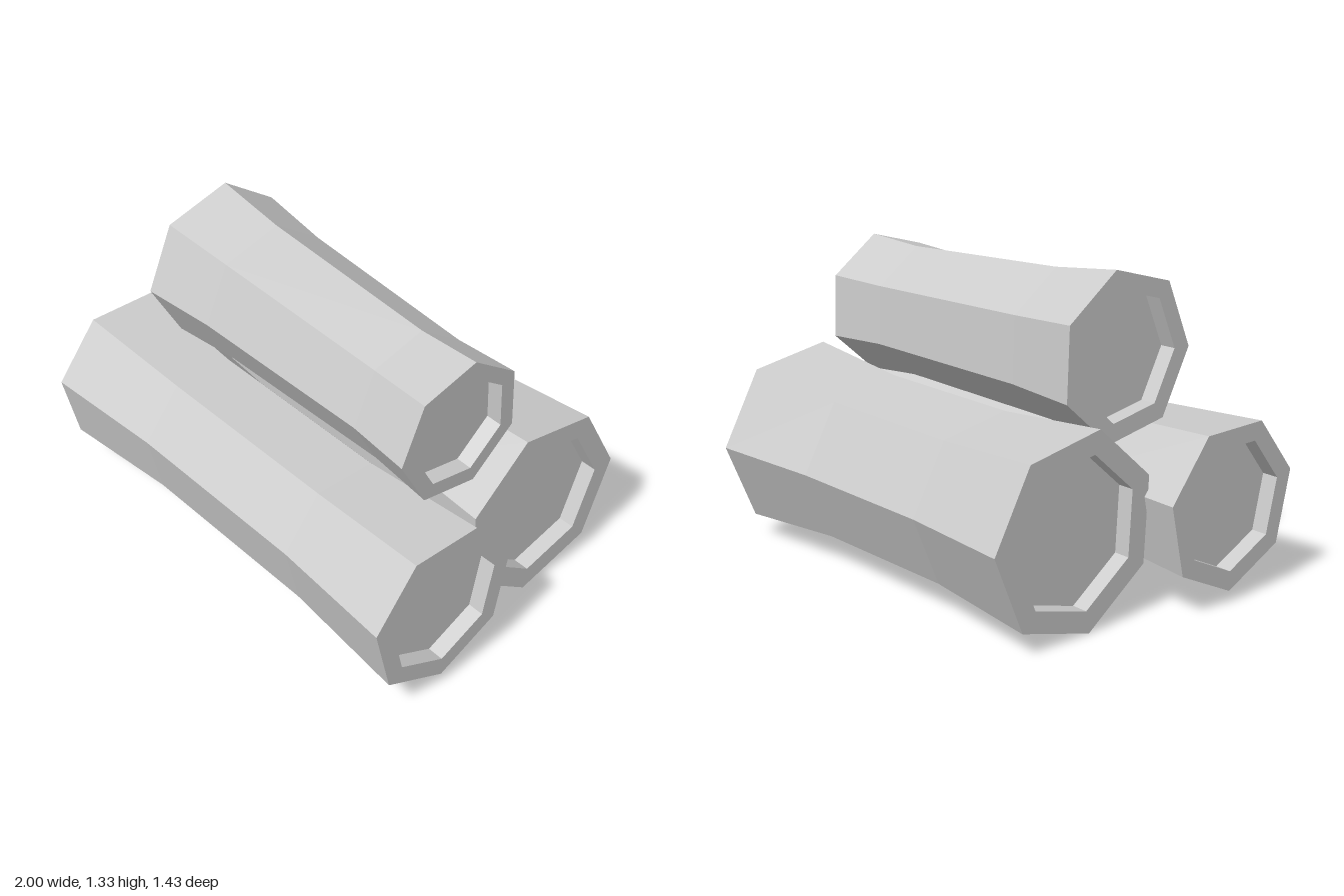
import * as THREE from 'three';

const RECESS = 0.07; // depth of the hollowed ends
const RIM = 0.765;   // inner rim radius relative to the end radius

// Seven-sided log lying along x; rings = four [x, radius] stations from -x to +x.
function makeLog(name, rings, turn, material) {
  const [x0, r0] = rings[0];
  const [x1, r1] = rings[rings.length - 1];
  const profile = [
    [0, x0 + RECESS], [r0 * RIM, x0 + RECESS], [r0 * RIM, x0],
    ...rings.map(([x, r]) => [r, x]),
    [r1 * RIM, x1], [r1 * RIM, x1 - RECESS], [0, x1 - RECESS],
  ].map(([r, x]) => new THREE.Vector2(r, x));
  const geometry = new THREE.LatheGeometry(profile, 7, turn, Math.PI * 2);
  geometry.rotateZ(-Math.PI / 2);
  const log = new THREE.Mesh(geometry, material);
  log.name = name;
  return log;
}

export function createModel() {
  const group = new THREE.Group();
  group.name = 'logPile';
  const material = new THREE.MeshStandardMaterial({ color: 0xcccccc, flatShading: true });

  // Longest log, at the front
  const front = makeLog('frontLog',
    [[-1, 0.35], [-0.44, 0.309], [0.44, 0.309], [1, 0.35]], Math.PI / 2, material);
  front.position.set(0, 0.4, 0.375);

  // Thickest log, at the back
  const back = makeLog('backLog',
    [[-0.845, 0.408], [-0.34, 0.364], [0.34, 0.364], [0.845, 0.408]], 1.4, material);
  back.position.set(0, 0.402, -0.309);

  // Tapered, slightly tilted log resting on the other two
  const top = makeLog('topLog',
    [[-0.732, 0.343], [-0.4, 0.309], [0.45, 0.282], [0.732, 0.301]], -1.737, material);
  top.position.set(0.03, 0.972, 0.083);
  top.rotation.z = -0.027;

  group.add(front, back, top);
  return group;
}
